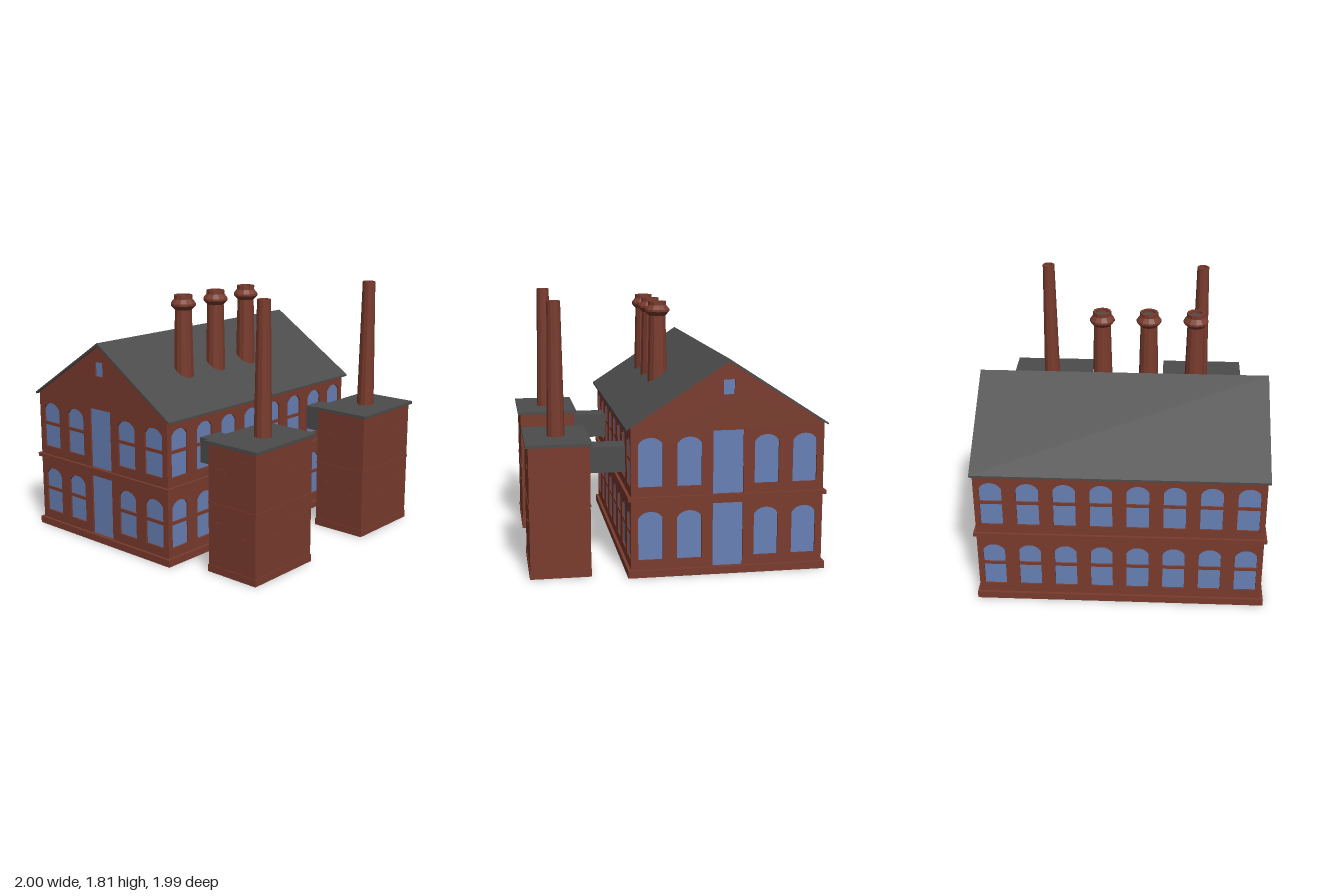
import * as THREE from 'three';

const mat = (name, color) => {
  const m = new THREE.MeshStandardMaterial({ color });
  m.name = name;
  return m;
};

export function createModel() {
  const brick = mat('brick red', 0x7a3b2d);
  const slate = mat('slate grey', 0x4c4c4c);
  const glass = mat('window blue', 0x6880b6);
  const model = new THREE.Group();
  model.name = 'factory';

  const add = (parent, name, geo, material, x = 0, y = 0, z = 0) => {
    const mesh = new THREE.Mesh(geo, material);
    mesh.name = name;
    mesh.position.set(x, y, z);
    parent.add(mesh);
    return mesh;
  };
  // Box given by its min and max corners
  const box = (parent, name, material, [x0, y0, z0], [x1, y1, z1]) =>
    add(parent, name, new THREE.BoxGeometry(x1 - x0, y1 - y0, z1 - z0), material,
      (x0 + x1) / 2, (y0 + y1) / 2, (z0 + z1) / 2);

  // Opening outline: straight sides with a segmental arch of the given rise
  const trace = (path, { u, w, y0, y1, rise = 0 }) => {
    const l = u - w / 2, r = u + w / 2;
    path.moveTo(l, y0);
    path.lineTo(r, y0);
    path.lineTo(r, y1 - rise);
    if (rise) path.bezierCurveTo(r - w * 0.2, y1 + rise * 0.33, l + w * 0.2, y1 + rise * 0.33, l, y1 - rise);
    else path.lineTo(l, y1);
    path.closePath();
    return path;
  };

  // Wall facing local +z with recessed panes and optional glazing bars
  const wall = (name, outline, openings, bars, x, z, turn) => {
    const g = new THREE.Group();
    g.name = name;
    g.position.set(x, 0, z);
    g.rotation.y = turn;
    const shape = new THREE.Shape(outline.map(p => new THREE.Vector2(...p)));
    for (const o of openings) shape.holes.push(trace(new THREE.Path(), o));
    add(g, 'brickwork', new THREE.ExtrudeGeometry(shape, { depth: 0.02, bevelEnabled: false, curveSegments: 8 }),
      brick, 0, 0, -0.02);
    for (const o of openings) {
      add(g, 'pane', new THREE.ShapeGeometry(trace(new THREE.Shape(), o), 8), glass, 0, 0, -0.012);
      if (bars && o.bar) {
        box(g, 'glazingBar', brick, [o.u - o.w / 2, o.bar - 0.011, -0.014], [o.u + o.w / 2, o.bar + 0.011, -0.002]);
      }
    }
    model.add(g);
  };

  const storeys = [0.115, 0.61];
  const windowsAt = (centres, w) => storeys.flatMap(y0 =>
    centres.map(u => ({ u, w, y0, y1: y0 + 0.33, rise: 0.045, bar: y0 + 0.174 })));

  // Main hall walls
  const cx = -0.328, halfW = 0.65, halfL = 0.975;
  const gable = [[-halfW, 0], [halfW, 0], [halfW, 1.005], [0, 1.43], [-halfW, 1.005]];
  const gableOpenings = [
    ...windowsAt([-0.52, -0.26, 0.26, 0.52], 0.164),
    { u: 0, w: 0.205, y0: 0.052, y1: 0.485 },
    { u: 0, w: 0.205, y0: 0.548, y1: 0.975 },
    { u: 0, w: 0.075, y0: 1.21, y1: 1.31 },
  ];
  wall('frontWall', gable, gableOpenings, true, cx, halfL, 0);
  wall('backWall', gable, gableOpenings, false, cx, -halfL, Math.PI);
  const flank = [[-halfL, 0], [halfL, 0], [halfL, 1.005], [-halfL, 1.005]];
  const flankOpenings = windowsAt([-7, -5, -3, -1, 1, 3, 5, 7].map(i => i * 0.123), 0.15);
  wall('leftWall', flank, flankOpenings, true, cx + halfW, 0, Math.PI / 2);
  wall('rightWall', flank, flankOpenings, true, cx - halfW, 0, -Math.PI / 2);

  // Plinth, and a string course made as a ring
  box(model, 'plinth', brick, [-0.998, 0, -0.993], [0.342, 0.05, 0.993]);
  for (const s of [-1, 1]) {
    box(model, 'stringCourse', brick, [-0.998, 0.52, s * 0.98 - 0.013], [0.342, 0.546, s * 0.98 + 0.013]);
    box(model, 'stringCourse', brick, [cx + s * 0.657 - 0.013, 0.52, -0.97], [cx + s * 0.657 + 0.013, 0.546, 0.97]);
  }

  // Pitched roof
  const rx = 0.678;
  const roof = new THREE.Shape([[-rx, 1.006], [-rx, 0.992], [0, 1.428], [rx, 0.992], [rx, 1.006], [0, 1.447]]
    .map(p => new THREE.Vector2(...p)));
  add(model, 'roof', new THREE.ExtrudeGeometry(roof, { depth: 1.986, bevelEnabled: false }), slate, -0.322, 0, -0.993);

  // Faceted chimney from a profile, with a dark disc inside the mouth
  const chimney = (name, profile, x, z) => {
    const g = new THREE.Group();
    g.name = name;
    g.position.set(x, 0, z);
    const [r, top] = profile[profile.length - 1];
    const pts = [...profile, [r * 0.72, top], [r * 0.72, top - 0.04]].map(p => new THREE.Vector2(...p));
    const geo = new THREE.LatheGeometry(pts, 12).toNonIndexed();
    geo.computeVertexNormals();
    add(g, 'stack', geo, brick);
    add(g, 'flue', new THREE.CircleGeometry(r * 0.74, 12), slate, 0, top - 0.02, 0).rotation.x = -Math.PI / 2;
    model.add(g);
  };
  for (const z of [0.49, 0.16, -0.17]) {
    chimney('roofChimney', [[0.073, 1.1], [0.06, 1.655], [0.088, 1.685], [0.088, 1.7], [0.064, 1.73], [0.064, 1.757]], 0.015, z);
  }

  // Boiler towers with caps, tall stacks and ducts to the hall
  for (const [zc, zs, zd] of [[0.567, 0.55, 0.56], [-0.618, -0.632, -0.62]]) {
    const g = new THREE.Group();
    g.name = 'boilerTower';
    model.add(g);
    const slab = (name, m, x0, x1, y0, y1, half) => box(g, name, m, [x0, y0, zc - half], [x1, y1, zc + half]);
    slab('towerWalls', brick, 0.578, 0.98, 0, 0.89, 0.29);
    slab('towerPlinth', brick, 0.574, 0.984, 0, 0.05, 0.294);
    slab('towerBelt', brick, 0.574, 0.984, 0.477, 0.49, 0.294);
    slab('towerCap', slate, 0.562, 0.999, 0.884, 0.905, 0.309);
    // Proud bricks scattered on each face
    for (const [u, y] of [[-0.1, 0.72], [-0.07, 0.7], [0.09, 0.8], [0.1, 0.29], [-0.12, 0.35]]) {
      for (const s of [-1, 1]) {
        box(g, 'proudBrick', brick, [0.78 + u - 0.02, y, zc + s * 0.291 - 0.003], [0.78 + u + 0.02, y + 0.011, zc + s * 0.291 + 0.003]);
        box(g, 'proudBrick', brick, [0.779 + s * 0.202 - 0.003, y, zc + u - 0.02], [0.779 + s * 0.202 + 0.003, y + 0.011, zc + u + 0.02]);
      }
    }
    box(model, 'duct', slate, [0.315, 0.655, zd - 0.091], [0.585, 0.832, zd + 0.091]);
    chimney('tallChimney', [[0.061, 0.895], [0.045, 1.806]], 0.781, zs);
  }
  return model;
}
